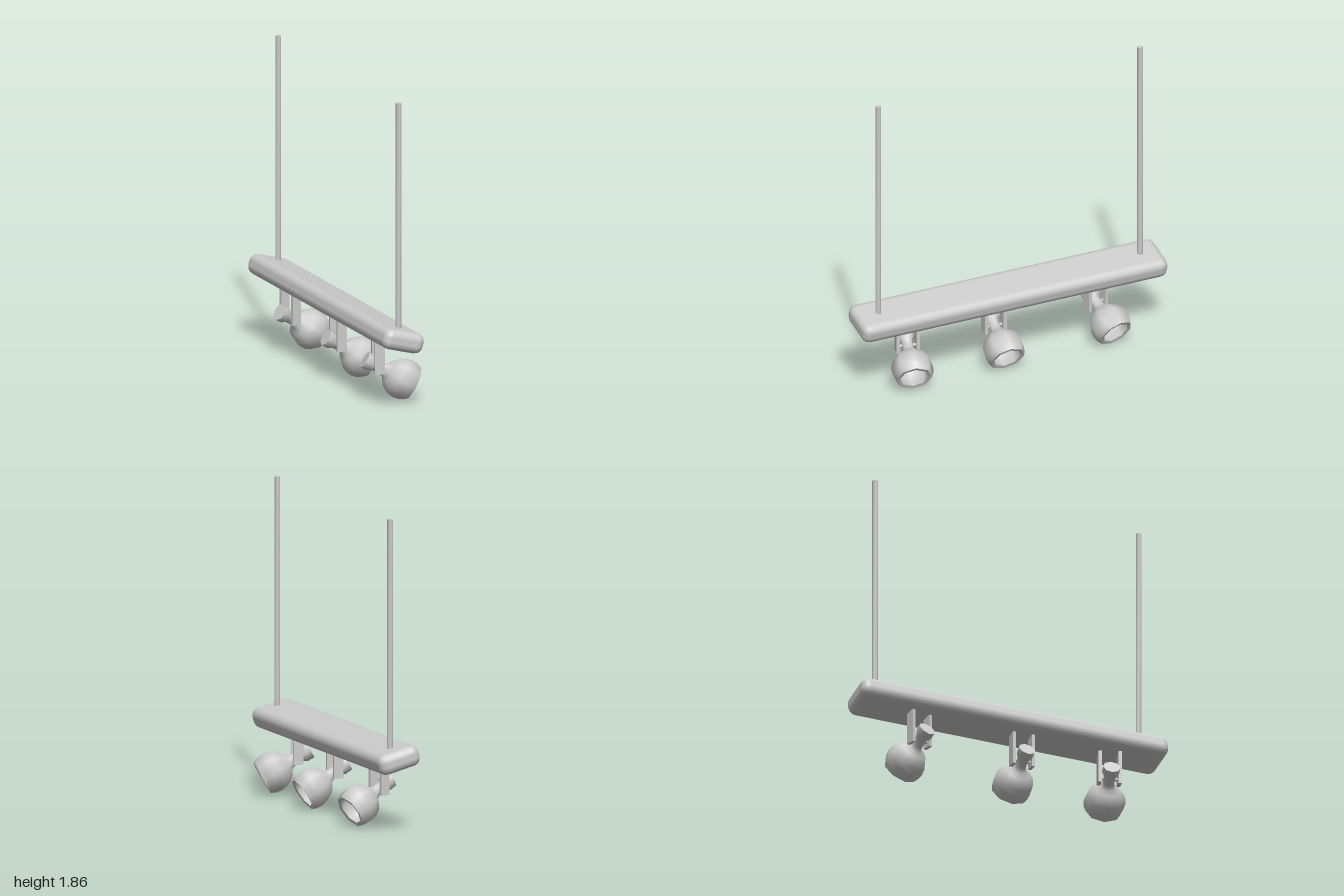
import * as THREE from 'three';
import { toCreasedNormals } from 'three/addons/utils/BufferGeometryUtils.js';
import { RoundedBoxGeometry } from 'three/addons/geometries/RoundedBoxGeometry.js';

const material = new THREE.MeshStandardMaterial({ color: 0xcccccc });

function part(name, geometry, parent, x = 0, y = 0, z = 0) {
  const mesh = new THREE.Mesh(geometry, material);
  mesh.name = name;
  mesh.position.set(x, y, z);
  parent.add(mesh);
  return mesh;
}

// Points on a circular arc of the shade, angles measured from the mouth direction
function arc(radius, centre, from, to, steps) {
  return Array.from({ length: steps + 1 }, (_, i) => {
    const a = from + (to - from) * i / steps;
    return new THREE.Vector2(Math.max(0, radius * Math.sin(a)), centre + radius * Math.cos(a));
  });
}

// Flared end cap, neck, dome and hollow inside in one profile along +y
function shadeGeometry() {
  const neck = [[0, -0.09], [0.052, -0.09], [0.052, -0.05], [0.036, -0.02], [0.036, 0.03]]
    .map(([r, y]) => new THREE.Vector2(r, y));
  const outer = arc(0.125, 0.17, 2.75, 1.01, 6);
  const inner = arc(0.105, 0.17, 0.93, Math.PI, 6);
  return toCreasedNormals(new THREE.LatheGeometry([...neck, ...outer, ...inner], 8), 0.9);
}

export function createModel() {
  const model = new THREE.Group();
  model.name = 'trackLight';

  // Tilted ceiling bar
  const bar = part('bar', new RoundedBoxGeometry(0.265, 0.125, 2, 2, 0.05), model, -0.055, 0.455, 0);
  bar.rotation.set(0, -0.005, -0.26);

  // Hanging rods
  const rodGeometry = toCreasedNormals(new THREE.CylinderGeometry(0.018, 0.018, 1.4, 8), 0.9);
  for (const side of [1, -1]) {
    part('hangingRod', rodGeometry, model, -0.04 - side * 0.004, 1.18, side * 0.86);
  }

  // Spotlights, each turned a little differently
  const shade = shadeGeometry();
  const armGeometry = new THREE.BoxGeometry(0.058, 0.23, 0.02);
  const pinGeometry = new THREE.CylinderGeometry(0.01, 0.01, 0.12, 8).rotateX(Math.PI / 2);
  const lamps = [
    { z: 0.65, yaw: -0.26, pitch: 0.51 },
    { z: 0.08, yaw: -0.05, pitch: 0.56 },
    { z: -0.59, yaw: 0.17, pitch: 0.54 },
  ];
  for (const { z, yaw, pitch } of lamps) {
    const lamp = new THREE.Group();
    lamp.name = 'spotlight';
    lamp.position.set(-0.08, 0.232, z);
    lamp.rotation.y = yaw;
    model.add(lamp);
    for (const side of [1, -1]) part('bracketArm', armGeometry, lamp, 0, 0.083, side * 0.06);
    part('pivotPin', pinGeometry, lamp);
    part('lampShade', shade, lamp).rotation.z = -Math.PI / 2 - pitch;
  }
  return model;
}
